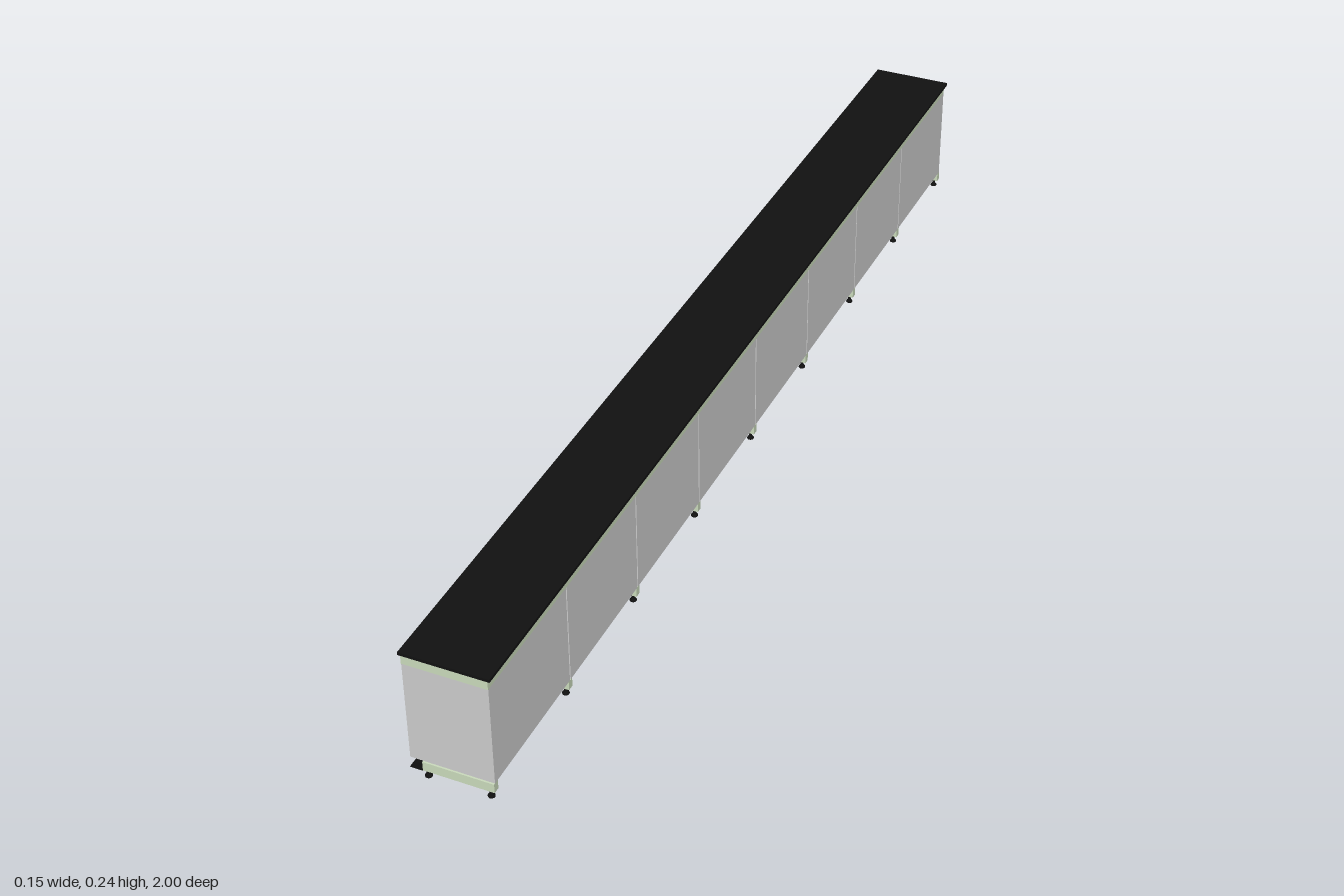
import * as THREE from 'three';

const mat = (color) => new THREE.MeshStandardMaterial({ color });

export function createModel() {
  const root = new THREE.Group();
  root.name = 'laboratoryBench';
  const grey = mat(0xcccccc), green = mat(0xc9d9bb), blue = mat(0x2a3685), black = mat(0x111111);

  // box given by its limits on each axis
  function box(name, material, x0, x1, y0, y1, z0, z1, parent = root) {
    const m = new THREE.Mesh(new THREE.BoxGeometry(x1 - x0, y1 - y0, z1 - z0), material);
    m.position.set((x0 + x1) / 2, (y0 + y1) / 2, (z0 + z1) / 2);
    m.name = name;
    parent.add(m);
    return m;
  }

  const units = 8, pitch = 0.248, zStart = -0.989, zEnd = zStart + units * pitch;
  const bottom = 0.031, top = 0.217;

  // worktop and the rails that carry it
  box('worktop', black, -0.076, 0.076, 0.233, 0.2385, -1, 1);
  for (const x of [-0.072, 0.06]) {
    box('topRail', green, x, x + 0.012, top, 0.233, zStart - 0.004, zEnd + 0.004);
  }

  // support frames: cross rails, toe cap and two feet at every joint
  const capShape = new THREE.Shape([
    [-0.072, 0.014], [-0.05, 0.014], [-0.05, 0.031], [-0.058, 0.028], [-0.066, 0.024],
  ].map(([x, y]) => new THREE.Vector2(x, y)));
  const capGeo = new THREE.ExtrudeGeometry(capShape, { depth: 0.014, bevelEnabled: false });
  const footGeo = new THREE.LatheGeometry([
    [0, 0], [0.006, 0], [0.006, 0.002], [0.003, 0.006], [0.0025, 0.015], [0, 0.015],
  ].map(([r, y]) => new THREE.Vector2(r, y)), 16);
  for (let i = 0; i <= units; i++) {
    const frame = new THREE.Group();
    frame.name = 'supportFrame';
    frame.position.z = zStart + i * pitch;
    root.add(frame);
    box('bottomCrossRail', green, -0.05, 0.072, 0.014, bottom, -0.006, 0.006, frame);
    box('topCrossRail', green, -0.06, 0.06, top, 0.233, -0.004, 0.004, frame);
    const cap = new THREE.Mesh(capGeo, black);
    cap.position.z = -0.007;
    cap.name = 'toeCap';
    frame.add(cap);
    for (const x of [-0.044, 0.063]) {
      const foot = new THREE.Mesh(footGeo, black);
      foot.position.x = x;
      foot.name = 'foot';
      frame.add(foot);
    }
  }

  // bracket handle centred on (y, z); vertical on doors, level on drawers
  function handle(y, z, length, vertical) {
    const g = new THREE.Group();
    g.name = vertical ? 'doorHandle' : 'drawerHandle';
    g.position.set(-0.072, y, z);
    if (vertical) g.rotation.x = Math.PI / 2;
    const h = length / 2, t = 0.001;
    box('grip', black, -0.005, -0.003, -t, t, -h, h, g);
    for (const s of [-1, 1]) {
      box('gripPost', black, -0.004, 0, -t, t, s * (h - t) - t, s * (h - t) + t, g);
    }
    root.add(g);
  }

  // cabinets along the bench: D doors, N narrow drawer columns, W wide drawers
  const layout = ['D', 'N', 'N', 'W', 'W', 'W', 'W', 'D'];
  const gap = 0.001, margin = 0.004;
  layout.forEach((type, i) => {
    const z0 = zStart + i * pitch + 0.0015, z1 = z0 + pitch - 0.003;
    box('cabinetBody', grey, -0.069, 0.072, bottom, top, z0, z1);
    const columns = type === 'W' ? 1 : 2, rows = type === 'D' ? 1 : 3;
    const w = (z1 - z0 - 2 * margin) / columns, h = (top - bottom - 0.004) / rows;
    for (let c = 0; c < columns; c++) {
      const a = z0 + margin + c * w;
      for (let r = 0; r < rows; r++) {
        const b = bottom + 0.002 + r * h;
        box(type === 'D' ? 'door' : 'drawerFront', blue, -0.072, -0.069,
          b + gap, b + h - gap, a + gap, a + w - gap);
        if (type === 'D') handle(0.126, c === 0 ? a + w - 0.01 : a + 0.01, 0.022, true);
        else handle(0.065 + r * 0.0575, a + w / 2, 0.03, false);
      }
    }
  });

  // outer end panels
  box('endPanel', grey, -0.072, 0.072, bottom, top, zStart - 0.003, zStart + 0.0015);
  box('endPanel', grey, -0.072, 0.072, bottom, top, zEnd - 0.0015, zEnd + 0.003);

  return root;
}
